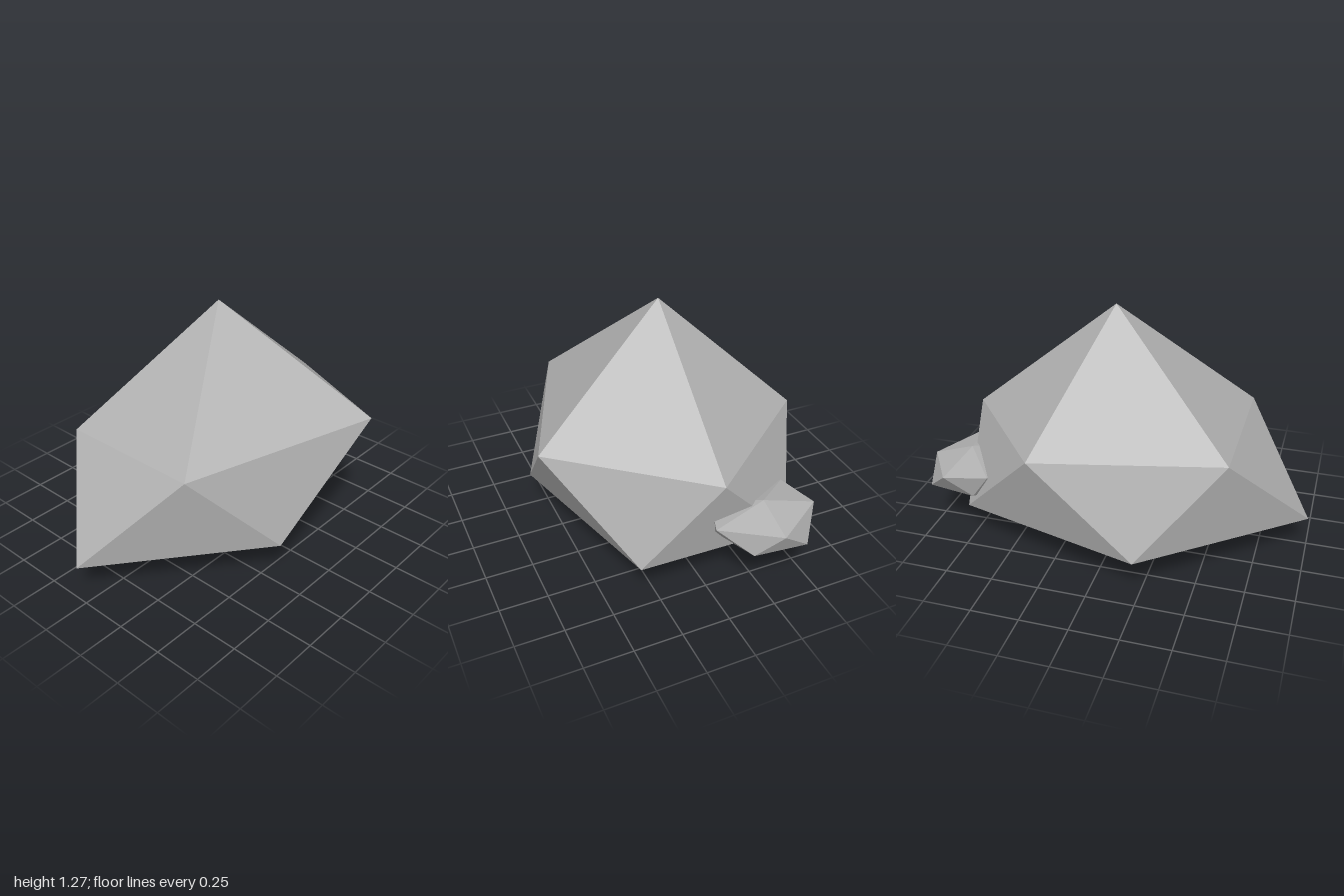
import * as THREE from 'three';

// Faceted boulder: a top point, an upper and a lower ring of five, a bottom point.
// Rings start near +x and run towards +z; the lower ring sits half a step on.
function boulderGeometry(top, upper, lower, bottom) {
  const positions = [];
  const face = (...corners) => corners.forEach((c) => positions.push(...c));
  for (let i = 0; i < 5; i++) {
    const j = (i + 1) % 5;
    face(top, upper[j], upper[i]);
    face(upper[i], upper[j], lower[i]);
    face(lower[i], upper[j], lower[j]);
    face(bottom, lower[i], lower[j]);
  }
  const geometry = new THREE.BufferGeometry();
  geometry.setAttribute('position', new THREE.Float32BufferAttribute(positions, 3));
  geometry.computeVertexNormals();
  return geometry;
}

export function createModel() {
  const model = new THREE.Group();
  model.name = 'rocks';
  const stone = new THREE.MeshStandardMaterial({ color: 0xb0b0b0, flatShading: true });
  stone.name = 'grey stone';

  const addRock = (name, ...points) => {
    const rock = new THREE.Mesh(boulderGeometry(...points), stone);
    rock.name = name;
    model.add(rock);
  };

  // Main boulder
  addRock('largeRock',
    [0.04, 1.275, -0.05],
    [[0.81, 0.64, -0.05], [0.355, 0.74, 0.705], [-0.625, 0.665, 0.33], [-0.625, 0.66, -0.435], [0.305, 0.675, -0.685]],
    [[0.73, 0.213, 0.345], [-0.225, 0.213, 0.6], [-1, 0.19, -0.05], [-0.225, 0.21, -0.705], [0.745, 0.213, -0.45]],
    [0.04, 0, -0.05]);

  // Small stone half sunk into the left side
  addRock('smallRock',
    [0.78, 0.475, -0.28],
    [[0.997, 0.405, -0.28], [0.835, 0.425, 0.005], [0.61, 0.42, -0.08], [0.61, 0.42, -0.485], [0.83, 0.42, -0.54]],
    [[0.94, 0.295, -0.15], [0.7, 0.29, -0.06], [0.53, 0.29, -0.28], [0.7, 0.295, -0.48], [0.965, 0.29, -0.43]],
    [0.78, 0.225, -0.28]);

  return model;
}
